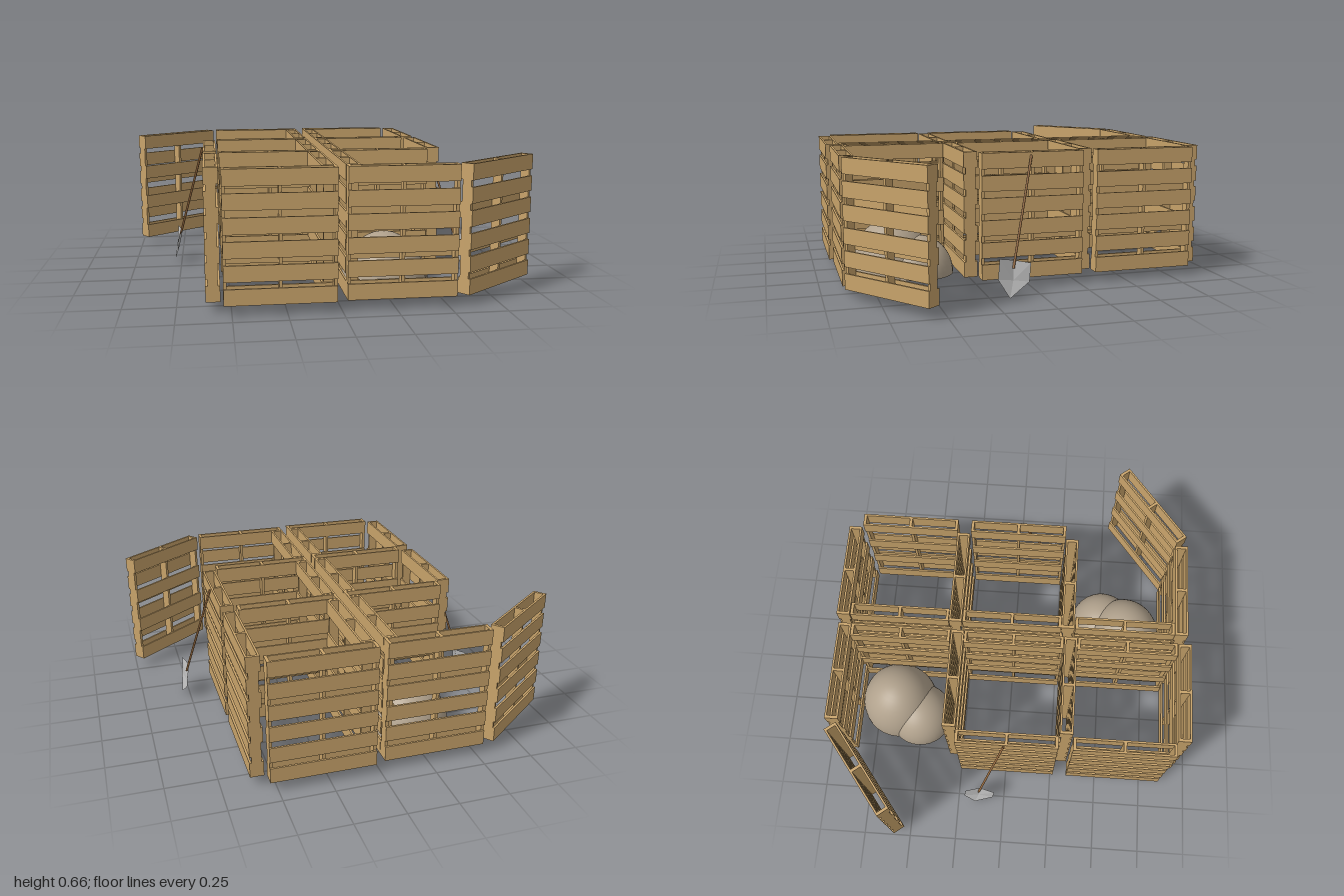
import * as THREE from 'three';

const wood = new THREE.MeshStandardMaterial({ color: 0xc9a46b });
wood.name = 'palletWood';
const soil = new THREE.MeshStandardMaterial({ color: 0xb0a18c, side: THREE.DoubleSide });
soil.name = 'compost';
const handleWood = new THREE.MeshStandardMaterial({ color: 0x94693f });
handleWood.name = 'handleWood';
const steel = new THREE.MeshStandardMaterial({ color: 0xbdbdbd, side: THREE.DoubleSide, flatShading: true });
steel.name = 'steel';

// Pallet dimensions
const W = 0.513, H = 0.614, T = 0.067, BASE = 0.049;
const SLAT_H = 0.076, SLAT_T = 0.01, POST_T = 0.015;

function add(parent, name, geometry, material) {
  const mesh = new THREE.Mesh(geometry, material);
  mesh.name = name;
  parent.add(mesh);
  return mesh;
}

// Upright pallet: six slats on the outer (+z) face, four on the inner face
function pallet(name, x, z, turn) {
  const g = new THREE.Group();
  g.name = name;
  const slatGeo = new THREE.BoxGeometry(W, SLAT_H, SLAT_T);
  for (const [count, side, label] of [[6, 1, 'outerSlat'], [4, -1, 'innerSlat']]) {
    for (let i = 0; i < count; i++) {
      const y = SLAT_H / 2 + (i * (H - SLAT_H)) / (count - 1);
      add(g, label, slatGeo, wood).position.set(0, y, side * (T - SLAT_T) / 2);
    }
  }
  const postGeo = new THREE.BoxGeometry(POST_T, H, T - 2 * SLAT_T);
  for (const s of [-1, 0, 1]) {
    add(g, 'stringer', postGeo, wood).position.set(s * (W - POST_T) / 2, H / 2, 0);
  }
  g.position.set(x, BASE, z);
  g.rotation.y = turn;
  return g;
}

// Open-bottomed dome of compost
function dome(parent, x, z, r, h) {
  const geo = new THREE.SphereGeometry(1, 32, 12, 0, Math.PI * 2, 0, Math.PI / 2);
  const m = add(parent, 'compostMound', geo, soil);
  m.scale.set(r, h, r);
  m.position.set(x, 0.035, z);
}

// Shovel leaning against the outer wall
function shovel() {
  const g = new THREE.Group();
  g.name = 'shovel';
  const top = new THREE.Vector3(0.62, 0.648, 0.005);
  const end = new THREE.Vector3(0.757, 0.135, 0.135);
  const handle = add(g, 'shovelHandle',
    new THREE.CylinderGeometry(0.006, 0.006, top.distanceTo(end), 8), handleWood);
  handle.position.copy(top).lerp(end, 0.5);
  handle.quaternion.setFromUnitVectors(new THREE.Vector3(0, 1, 0), top.clone().sub(end).normalize());

  // Dished blade: a rim fanned around its centre
  const points = [
    0.762, 0.08, 0.137,
    0.767, 0.187, 0.205,
    0.742, 0.172, 0.13,
    0.76, 0.158, 0.05,
    0.77, 0.07, 0.06,
    0.787, 0.0, 0.16,
    0.774, 0.09, 0.214,
  ];
  const index = [];
  for (let i = 0; i < 6; i++) index.push(0, 1 + i, 1 + ((i + 1) % 6));
  const geo = new THREE.BufferGeometry();
  geo.setAttribute('position', new THREE.Float32BufferAttribute(points, 3));
  geo.setIndex(index);
  geo.computeVertexNormals();
  add(g, 'shovelBlade', geo, steel);
  return g;
}

// One row of three bins
function binRow(name) {
  const row = new THREE.Group();
  row.name = name;
  const q = Math.PI / 2;
  // Cross walls
  [-0.888, -0.302, 0.284, 0.87].forEach((z, i) => {
    row.add(pallet('crossWall', 0.2805, z, i < 2 ? Math.PI : 0));
  });
  // Spine and outer walls
  for (const z of [-0.594, -0.008, 0.578]) row.add(pallet('spineWall', 0.057, z, -q));
  for (const z of [-0.594, -0.008]) row.add(pallet('outerWall', 0.583, z, q));
  // Gate swung open
  row.add(pallet('openGate', 0.777, 0.714, 0.66));
  // Compost heap
  dome(row, 0.245, 0.63, 0.21, 0.27);
  dome(row, 0.318, 0.506, 0.178, 0.19);
  row.add(shovel());
  return row;
}

export function createModel() {
  const model = new THREE.Group();
  model.name = 'compostBins';
  model.add(binRow('leftBins'));
  const other = binRow('rightBins');
  other.rotation.y = Math.PI;
  model.add(other);
  return model;
}
